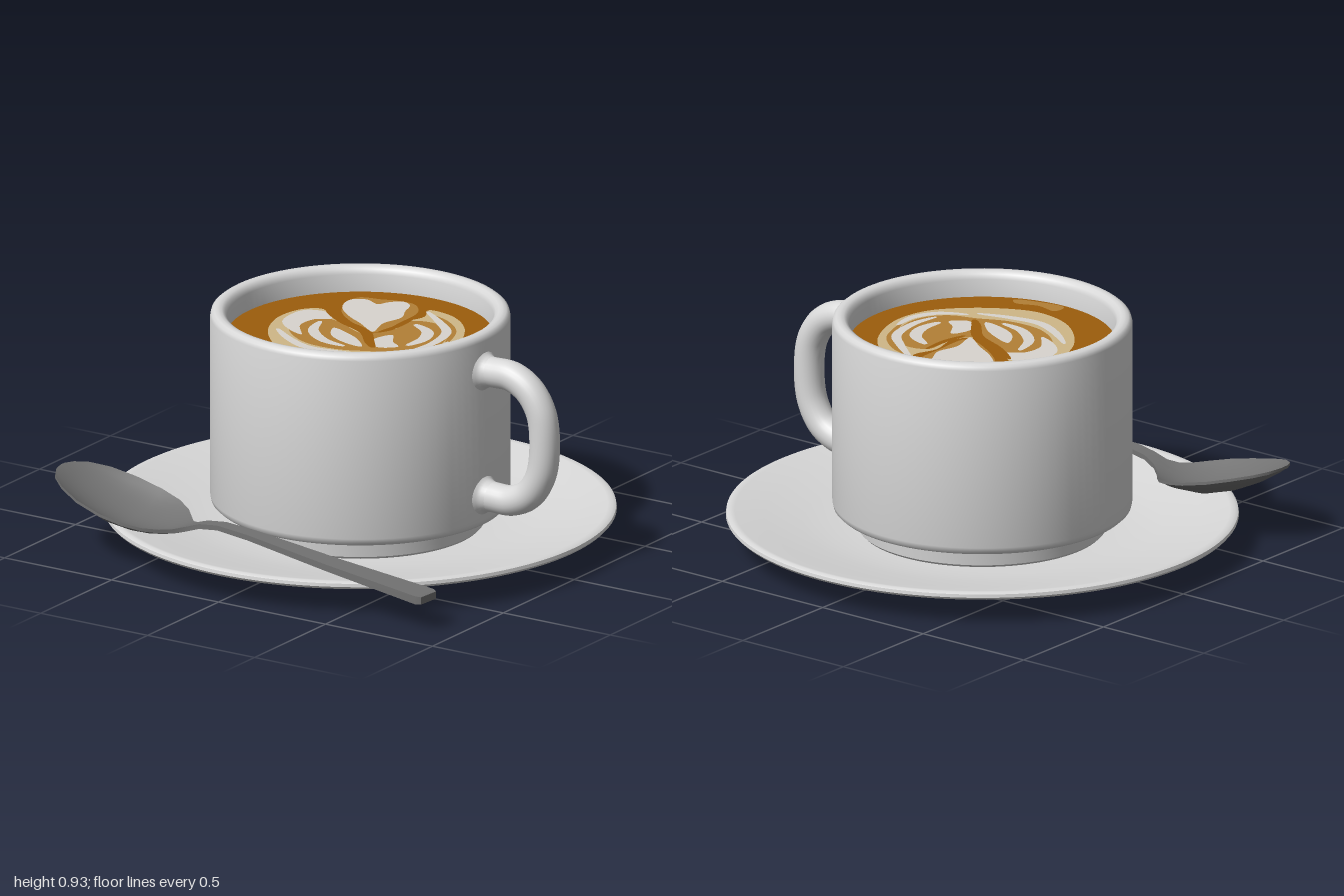
import * as THREE from 'three';
import { toCreasedNormals } from 'three/addons/utils/BufferGeometryUtils.js';

const material = (name, color, side = THREE.FrontSide) => {
  const m = new THREE.MeshStandardMaterial({ color, side });
  m.name = name;
  return m;
};

const v2 = (pts) => pts.map(([x, y]) => new THREE.Vector2(x, y));

// Turned part from a profile that runs from the bottom centre outward and up
function lathe(pts, segments = 96) {
  return toCreasedNormals(new THREE.LatheGeometry(v2(pts), segments), 0.7);
}

// Flat plate in the horizontal plane, from an outline of (x, z) points
function plate(outline) {
  const shape = new THREE.Shape(outline.map((p) => new THREE.Vector2(p.x, -p.y)));
  return new THREE.ShapeGeometry(shape).rotateX(-Math.PI / 2);
}

// Smooth closed patch of foam
function blob(pts) {
  const curve = new THREE.CatmullRomCurve3(pts.map(([x, z]) => new THREE.Vector3(x, z, 0)), true);
  return plate(curve.getPoints(pts.length * 6).slice(0, -1));
}

// Tapered brush stroke of foam
function stroke(width, pts) {
  const curve = new THREE.SplineCurve(v2(pts));
  const left = [], right = [];
  for (let i = 0; i <= 24; i++) {
    const t = i / 24, p = curve.getPoint(t), d = curve.getTangent(t);
    const w = 0.5 * width * Math.sqrt(Math.sin(Math.PI * (0.02 + 0.96 * t)));
    left.push(new THREE.Vector2(p.x - d.y * w, p.y + d.x * w));
    right.unshift(new THREE.Vector2(p.x + d.y * w, p.y - d.x * w));
  }
  return plate([...left, ...right]);
}

// Spoon lofted along x; stations are [x, rim height, half width, bowl depth, thickness]
function spoonGeometry(stations) {
  const steps = 14, n = 2 * (steps + 1), pos = [], index = [];
  for (const [x, y, w, depth, thick] of stations) {
    for (let k = 0; k < n; k++) {
      const top = k <= steps;
      const t = -1 + (2 * (top ? k : n - 1 - k)) / steps;
      pos.push(x, y - depth * (1 - t * t) - (top ? 0 : thick), w * t);
    }
  }
  const last = (stations.length - 1) * n;
  for (let i = 0; i < last; i += n) {
    for (let j = 0; j < n; j++) {
      const k = (j + 1) % n;
      index.push(i + j, i + k, i + n + j, i + k, i + n + k, i + n + j);
    }
  }
  for (let j = 1; j < n - 1; j++) {
    index.push(0, j + 1, j, last, last + j, last + j + 1);
  }
  const g = new THREE.BufferGeometry();
  g.setAttribute('position', new THREE.Float32BufferAttribute(pos, 3));
  g.setIndex(index);
  return toCreasedNormals(g, 0.7);
}

export function createModel() {
  const model = new THREE.Group();
  const china = material('white china', 0xd8d8d8);
  const steel = material('spoon steel', 0x727272);
  const coffee = material('coffee brown', 0x9c5d0c);
  const caramel = material('caramel foam', 0xb38036, THREE.DoubleSide);
  const cream = material('cream foam', 0xcfb788, THREE.DoubleSide);
  const milk = material('milk foam', 0xd9d5cf, THREE.DoubleSide);

  const add = (name, geometry, mat, parent = model) => {
    const mesh = new THREE.Mesh(geometry, mat);
    mesh.name = name;
    parent.add(mesh);
    return mesh;
  };

  // Saucer with a recessed underside
  add('saucer', lathe([
    [0, 0.025], [0.43, 0.025], [0.455, 0.02], [0.485, 0.005], [0.51, 0], [0.595, 0], [0.62, 0.006],
    [0.97, 0.098], [0.99, 0.104], [1, 0.115], [0.998, 0.128], [0.985, 0.135], [0.965, 0.132],
    [0.85, 0.108], [0.7, 0.08], [0.6, 0.066], [0.5, 0.06], [0, 0.06],
  ], 128), china);

  // Cup body, standing on a narrower foot
  add('cup', lathe([
    [0, 0.055], [0.47, 0.055], [0.485, 0.07], [0.49, 0.13], [0.54, 0.138], [0.568, 0.145],
    [0.581, 0.157], [0.585, 0.175], [0.585, 0.905], [0.581, 0.92], [0.57, 0.929], [0.555, 0.932],
    [0.54, 0.929], [0.527, 0.92], [0.52, 0.9], [0.517, 0.8], [0.517, 0.75], [0, 0.75],
  ]), china);

  // Cup handle with flared roots
  const path = new THREE.CatmullRomCurve3([
    [0.555, 0.78], [0.63, 0.782], [0.71, 0.78], [0.79, 0.738], [0.845, 0.655], [0.862, 0.53],
    [0.845, 0.4], [0.79, 0.312], [0.71, 0.272], [0.63, 0.27], [0.555, 0.272],
  ].map(([x, y]) => new THREE.Vector3(x, y, 0)));
  add('cupHandle', new THREE.TubeGeometry(path, 64, 0.06, 24), china);
  for (const y of [0.78, 0.271]) {
    const flare = new THREE.LatheGeometry(v2([[0.09, 0], [0.073, 0.012], [0.064, 0.026], [0.059, 0.045]]), 32);
    add('handleRoot', flare.rotateZ(-Math.PI / 2), china).position.set(0.575, y, 0);
  }

  // Coffee surface
  add('coffee', new THREE.CircleGeometry(0.518, 96).rotateX(-Math.PI / 2), coffee).position.y = 0.83;

  // Poured foam pattern, stacked in thin layers
  const art = new THREE.Group();
  art.name = 'foamArt';
  art.position.y = 0.83;
  model.add(art);
  const layer = (level, name, mat, geometries) => geometries.forEach((g) => {
    add(name, g, mat, art).position.y = level * 0.0025;
  });

  layer(1, 'creamPatch', cream, [blob([
    [0.07, -0.38], [0.18, -0.37], [0.3, -0.28], [0.38, -0.14], [0.41, 0], [0.38, 0.14], [0.28, 0.26],
    [0.15, 0.35], [0.03, 0.39], [-0.12, 0.36], [-0.24, 0.27], [-0.33, 0.15], [-0.375, 0],
    [-0.35, -0.12], [-0.29, -0.165], [-0.22, -0.12], [-0.1, -0.05], [0.03, 0], [0.09, -0.07],
    [0.07, -0.2], [0.1, -0.3],
  ])]);
  layer(1, 'caramelPatch', caramel, [blob([
    [-0.01, 0.44], [0.08, 0.45], [0.17, 0.42], [0.2, 0.45], [0.1, 0.49], [-0.01, 0.5],
  ]), blob([
    [-0.25, -0.36], [-0.16, -0.39], [-0.1, -0.41], [-0.02, -0.41], [0.05, -0.33], [0.06, -0.2],
    [0.05, -0.03], [-0.1, -0.09], [-0.22, -0.2],
  ])]);
  layer(2, 'caramelSwirl', caramel, [blob([
    [0.09, -0.22], [0.17, -0.25], [0.27, -0.2], [0.34, -0.08], [0.345, 0.05], [0.28, 0.14],
    [0.17, 0.18], [0.05, 0.23], [-0.1, 0.23], [-0.23, 0.15], [-0.29, 0.04], [-0.26, -0.07],
    [-0.14, -0.06], [0.02, 0.01], [0.09, -0.08],
  ]), stroke(0.03, [[0.1, -0.33], [0.2, -0.29], [0.3, -0.2], [0.36, -0.06]])]);
  layer(3, 'milkStroke', milk, [
    // Heart
    blob([
      [-0.11, -0.36], [-0.07, -0.4], [-0.02, -0.38], [0.01, -0.3], [0.04, -0.23], [0.02, -0.13],
      [0.045, -0.02], [-0.05, -0.08], [-0.15, -0.14], [-0.23, -0.22], [-0.25, -0.31], [-0.2, -0.345],
      [-0.13, -0.32],
    ]),
    // Left lobe
    blob([
      [-0.33, -0.1], [-0.25, -0.13], [-0.18, -0.07], [-0.23, -0.03], [-0.24, 0.06], [-0.17, 0.16],
      [-0.25, 0.13], [-0.33, 0.05],
    ]),
    // Centre leaves
    blob([[-0.11, 0.02], [-0.02, 0.05], [0.06, 0.1], [0.11, 0.16], [0.02, 0.15], [-0.07, 0.1]]),
    blob([[0.13, -0.03], [0.18, 0.04], [0.23, 0.08], [0.17, 0.13], [0.11, 0.09], [0.1, 0.03]]),
    // Ribs on the right, the left and below
    stroke(0.05, [[0.13, -0.19], [0.22, -0.14], [0.26, -0.05], [0.25, 0.05]]),
    stroke(0.04, [[0.08, -0.35], [0.2, -0.26], [0.29, -0.17], [0.32, -0.03], [0.3, 0.09]]),
    stroke(0.035, [[0.36, -0.08], [0.37, 0.03], [0.32, 0.13], [0.22, 0.19]]),
    stroke(0.045, [[-0.2, -0.02], [-0.16, 0.09], [-0.06, 0.17], [0.05, 0.19]]),
    stroke(0.04, [[-0.29, 0.15], [-0.18, 0.23], [-0.06, 0.28], [0.08, 0.26], [0.2, 0.22]]),
  ]);
  layer(4, 'coffeeVein', coffee, [
    stroke(0.045, [[-0.24, -0.13], [-0.12, -0.06], [0.02, 0], [0.11, 0.1], [0.16, 0.15]]),
    stroke(0.025, [[0.09, -0.24], [0.09, -0.12], [0.07, -0.02]]),
  ]);

  // Spoon leaning on the saucer rim
  const spoon = add('spoon', spoonGeometry([
    [-0.935, 0.315, 0.012, 0, 0.01], [-0.925, 0.312, 0.055, 0.003, 0.012],
    [-0.89, 0.303, 0.108, 0.02, 0.012], [-0.82, 0.285, 0.156, 0.045, 0.012],
    [-0.72, 0.257, 0.19, 0.065, 0.012], [-0.6, 0.227, 0.2, 0.074, 0.012],
    [-0.5, 0.205, 0.185, 0.058, 0.012], [-0.43, 0.19, 0.15, 0.038, 0.013],
    [-0.38, 0.182, 0.105, 0.02, 0.015], [-0.34, 0.182, 0.065, 0.006, 0.018],
    [-0.3, 0.193, 0.038, 0, 0.02], [-0.24, 0.214, 0.029, 0, 0.02],
    [-0.15, 0.226, 0.029, 0, 0.02], [0, 0.219, 0.033, 0, 0.022],
    [0.4, 0.181, 0.045, 0, 0.027], [0.85, 0.146, 0.059, 0, 0.033], [0.873, 0.143, 0.048, 0, 0.03],
  ]), steel);
  spoon.rotation.y = -0.078;
  spoon.position.z = 0.763;

  return model;
}
